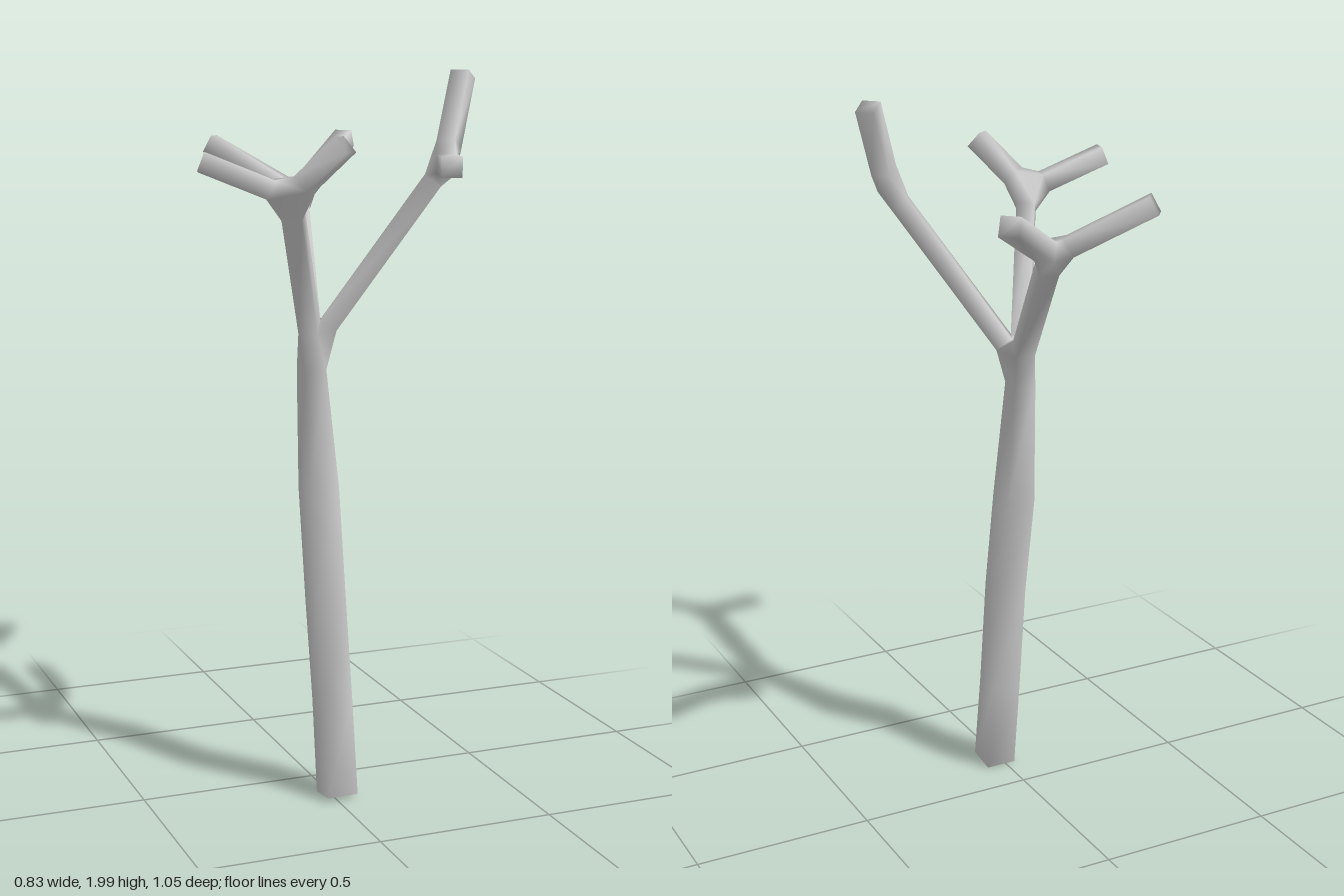
import * as THREE from 'three';
import { ConvexGeometry } from 'three/addons/geometries/ConvexGeometry.js';

const V = (x, y, z) => new THREE.Vector3(x, y, z);
const UP = V(0, 1, 0);

export function createModel() {
  const points = [];  // shared skin vertices, so shading flows across parts
  const parts = [];   // { name, index }

  // Square ring of four skin vertices, counter-clockwise around direction t
  function ring(center, t, half, side) {
    const s = side ? side.clone().addScaledVector(t, -side.dot(t)) : t.clone().cross(UP);
    s.normalize();
    const v = t.clone().cross(s);
    return [[1, 1], [-1, 1], [-1, -1], [1, -1]].map(([a, b]) =>
      points.push(center.clone().addScaledVector(s, a * half).addScaledVector(v, b * half)) - 1);
  }

  // Square limb through a list of rings, with optional end caps
  function limb(name, rings, capStart, capEnd) {
    const index = [];
    for (let r = 0; r + 1 < rings.length; r++) {
      const a = rings[r], b = rings[r + 1];
      for (let i = 0; i < 4; i++) {
        const j = (i + 1) % 4;
        index.push(a[i], a[j], b[j], a[i], b[j], b[i]);
      }
    }
    const s = rings[0], e = rings[rings.length - 1];
    if (capStart) index.push(s[0], s[2], s[1], s[0], s[3], s[2]);
    if (capEnd) index.push(e[0], e[1], e[2], e[0], e[2], e[3]);
    parts.push({ name, index });
  }

  // Convex web joining the rings of the limbs that meet at a fork
  function fork(name, rings) {
    const ids = rings.flat();
    const pos = new ConvexGeometry(ids.map(i => points[i])).getAttribute('position');
    const index = [];
    for (let f = 0; f < pos.count; f += 3) {
      const tri = [0, 1, 2].map(k => {
        const p = V().fromBufferAttribute(pos, f + k);
        return ids.reduce((best, i) =>
          points[i].distanceToSquared(p) < points[best].distanceToSquared(p) ? i : best, ids[0]);
      });
      // leave the mouths of the limbs open
      if (!rings.some(r => tri.every(i => r.includes(i)))) index.push(...tri);
    }
    parts.push({ name, index });
  }

  // Trunk: gently wandering, narrowing under the crown
  const trunk = [
    [V(0.015, 0.01, 0.158), 0.044], [V(0.013, 0.27, 0.125), 0.043],
    [V(-0.012, 0.57, 0.135), 0.043], [V(-0.008, 0.87, 0.073), 0.043],
    [V(-0.03, 1.2, 0.075), 0.031],
  ];
  const trunkRings = trunk.map(([p, half], i) => {
    const before = trunk[Math.max(i - 1, 0)][0];
    const after = trunk[Math.min(i + 1, trunk.length - 1)][0];
    return ring(p, after.clone().sub(before).normalize(), half, V(1, 0, 0));
  });
  limb('trunk', trunkRings, true, false);

  // Branches: each runs from the crown to a fork carrying two twigs
  const crown = V(-0.027, 1.26, 0.073);
  const half = 0.026;
  const branches = [
    { name: 'leftBranch', end: V(0.29, 1.755, 0.225), tips: [V(0.375, 1.985, 0.147), V(0.175, 1.762, 0.51)] },
    { name: 'rightBranch', end: V(-0.185, 1.685, 0.33), tips: [V(-0.402, 1.775, 0.278), V(-0.085, 1.82, 0.445)] },
    { name: 'backBranch', end: V(0.06, 1.645, -0.265), tips: [V(0.3, 1.79, -0.502), V(-0.15, 1.785, -0.42)] },
  ];
  const crownRings = [trunkRings[trunkRings.length - 1]];
  for (const { name, end, tips } of branches) {
    const t = end.clone().sub(crown).normalize();
    const start = ring(crown.clone().addScaledVector(t, 0.075), t, half);
    const stop = ring(end.clone().addScaledVector(t, -0.055), t, half);
    crownRings.push(start);
    limb(name, [start, stop], false, false);

    const forkRings = [stop];
    tips.forEach((tip, i) => {
      const d = tip.clone().sub(end).normalize();
      const base = ring(end.clone().addScaledVector(d, 0.055), d, half);
      forkRings.push(base);
      limb(name + 'Twig' + (i + 1), [base, ring(tip, d, half)], false, true);
    });
    fork(name + 'Fork', forkRings);
  }
  fork('crownFork', crownRings);

  // Smooth normals over the whole skin, then one mesh per part
  const skin = new THREE.BufferGeometry().setFromPoints(points);
  skin.setIndex(parts.flatMap(p => p.index));
  skin.computeVertexNormals();

  const material = new THREE.MeshStandardMaterial({ color: 0xcccccc });
  const tree = new THREE.Group();
  tree.name = 'bareTree';
  for (const { name, index } of parts) {
    // keep only the vertices this part uses
    const used = [...new Set(index)];
    const geometry = new THREE.BufferGeometry();
    for (const key of ['position', 'normal']) {
      const source = skin.getAttribute(key);
      const data = used.flatMap(i => [source.getX(i), source.getY(i), source.getZ(i)]);
      geometry.setAttribute(key, new THREE.Float32BufferAttribute(data, 3));
    }
    geometry.setIndex(index.map(i => used.indexOf(i)));
    const mesh = new THREE.Mesh(geometry, material);
    mesh.name = name;
    tree.add(mesh);
  }
  return tree;
}
